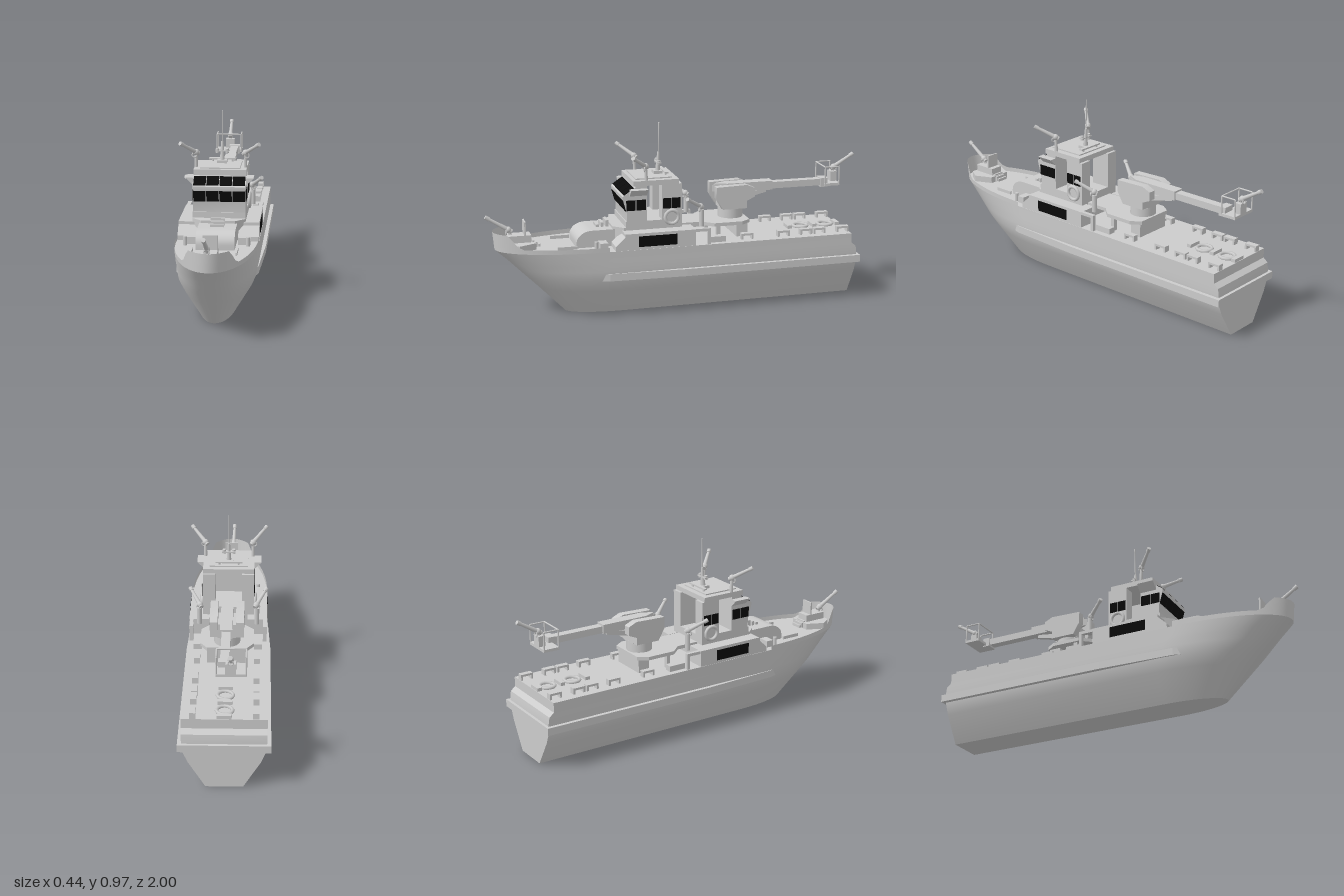
import * as THREE from 'three';
import { toCreasedNormals } from 'three/addons/utils/BufferGeometryUtils.js';

const grey = new THREE.MeshStandardMaterial({ color: 0xcccccc });
const thin = new THREE.MeshStandardMaterial({ color: 0xcccccc, side: THREE.DoubleSide });
const black = new THREE.MeshStandardMaterial({ color: 0x0a0a0a });
const V = (x, y, z) => new THREE.Vector3(x, y, z);

export function createModel() {
  const model = new THREE.Group();
  model.name = 'fireBoat';

  const add = (name, geo, mat = grey, parent = model) => {
    const m = new THREE.Mesh(geo, mat);
    m.name = name;
    parent.add(m);
    return m;
  };
  // Box given by its limits on each axis
  const box = (name, x0, x1, y0, y1, z0, z1, mat) => {
    const m = add(name, new THREE.BoxGeometry(x1 - x0, y1 - y0, z1 - z0), mat);
    m.position.set((x0 + x1) / 2, (y0 + y1) / 2, (z0 + z1) / 2);
    return m;
  };
  const extrude = (pts, depth) => new THREE.ExtrudeGeometry(
    new THREE.Shape(pts.map(p => new THREE.Vector2(...p))), { depth, bevelEnabled: false });
  // Side profile [z, y] swept from x0 to x1
  const sideExtrude = (name, pts, x0, x1) =>
    add(name, toCreasedNormals(extrude(pts, x1 - x0).rotateY(-Math.PI / 2).translate(x1, 0, 0), 0.6));
  // Plan outline [x, z] swept from y0 to y1
  const planExtrude = (name, pts, y0, y1) =>
    add(name, extrude(pts, y1 - y0).rotateX(Math.PI / 2).translate(0, y1, 0));
  // Round rod between two points
  const rod = (name, a, b, r0, r1 = r0, sides = 10, parent = model) => {
    const d = b.clone().sub(a);
    const m = add(name, new THREE.CylinderGeometry(r1, r0, d.length(), sides), grey, parent);
    m.position.copy(a).addScaledVector(d, 0.5);
    m.quaternion.setFromUnitVectors(V(0, 1, 0), d.normalize());
    return m;
  };
  const mirror = f => [-1, 1].forEach(f);

  // Hull: level rings with straight sides and an elliptical bow
  // [y, half width, stern z, start of bow curve, bow z]
  const levels = [
    [0, 0.09, -0.935, 0.3, 0.6], [0.14, 0.175, -0.935, 0.3, 0.735],
    [0.2, 0.2, -0.935, 0.32, 0.795], [0.25, 0.203, -0.935, 0.34, 0.845],
    [0.285, 0.204, -0.93, 0.36, 0.88], [0.305, 0.204, -0.905, 0.38, 0.9],
    [0.355, 0.205, -0.905, 0.4, 0.955]];
  const arc = 40, ring = arc + 3;
  const ringPoint = ([y, w, zs, z0, zb], i) => {
    if (i === 0 || i === ring - 1) return V(i ? -w : w, y, zs);
    const t = Math.PI * (i - 1) / arc;
    return V(w * Math.cos(t), y, z0 + (zb - z0) * Math.sin(t));
  };
  const pos = [], idx = [], top = (levels.length - 1) * ring;
  levels.forEach((l, k) => {
    for (let i = 0; i < ring; i++) {
      pos.push(...ringPoint(l, i).toArray());
      const a = k * ring + i, b = k * ring + (i + 1) % ring;
      if (k < levels.length - 1) idx.push(a, a + ring, b, b, a + ring, b + ring);
    }
  });
  const c0 = pos.length / 3;
  pos.push(0, 0, 0, 0, 0.355, 0);
  for (let i = 0; i < ring; i++) {
    const j = (i + 1) % ring;
    idx.push(c0, i, j, c0 + 1, top + j, top + i);
  }
  const hull = new THREE.BufferGeometry();
  hull.setAttribute('position', new THREE.Float32BufferAttribute(pos, 3));
  hull.setIndex(idx);
  add('hull', toCreasedNormals(hull, 0.35));

  // Bulwark: thin wall round the foredeck, raised at the bow
  const wallPos = [], wallIdx = [];
  for (let i = 1; i <= arc + 1; i++) {
    const p = ringPoint(levels[6], i);
    const h = 0.378 + 0.07 * THREE.MathUtils.clamp((p.z - 0.84) / 0.05, 0, 1);
    const s = 1 + (h - 0.355) * 0.1, k = (i - 1) * 2;
    wallPos.push(p.x, 0.355, p.z, p.x * s, h, p.z * s);
    if (i <= arc) wallIdx.push(k, k + 1, k + 2, k + 2, k + 1, k + 3);
  }
  const wall = new THREE.BufferGeometry();
  wall.setAttribute('position', new THREE.Float32BufferAttribute(wallPos, 3));
  wall.setIndex(wallIdx);
  wall.computeVertexNormals();
  add('bowBulwark', wall, thin);

  // Rubbing rail along both sides and across the stern
  planExtrude('rubRail', [[0.17, 0.52], [0.205, 0.4], [0.222, 0], [0.222, -0.95], [-0.222, -0.95],
    [-0.222, 0], [-0.205, 0.4], [-0.17, 0.52]], 0.2, 0.238);

  // Water cannon: post, swivel and barrel
  const cannon = (name, foot, pivot, tip) => {
    const g = new THREE.Group();
    g.name = name;
    model.add(g);
    rod('cannonPost', foot, pivot, 0.009, 0.008, 10, g);
    const d = tip.clone().sub(pivot);
    const at = t => pivot.clone().addScaledVector(d, t);
    rod('cannonBarrel', at(-0.15), at(0.85), 0.012, 0.008, 10, g);
    rod('cannonNozzle', at(0.83), tip, 0.011, 0.011, 10, g);
    add('cannonSwivel', new THREE.SphereGeometry(0.016, 12, 8), grey, g).position.copy(pivot);
    const wheel = add('cannonHandwheel', new THREE.TorusGeometry(0.012, 0.003, 6, 14), grey, g);
    wheel.position.copy(at(0.1)).y -= 0.02;
  };

  // Bow platform, pedestal and cannon
  planExtrude('bowPlatform', [[-0.06, 0.9], [0.06, 0.9], [0.1, 0.84], [0.06, 0.75], [-0.06, 0.75], [-0.1, 0.84]], 0.355, 0.388);
  box('bowPedestal', -0.035, 0.035, 0.388, 0.425, 0.77, 0.89);
  box('bowShield', -0.035, 0.035, 0.425, 0.495, 0.797, 0.805);
  for (let i = 0; i < 3; i++) box('bowStep', -0.03, 0.03, 0.36, 0.375 + i * 0.01, 0.725 + i * 0.015, 0.735 + i * 0.015);
  cannon('bowCannon', V(-0.01, 0.42, 0.87), V(-0.01, 0.45, 0.88), V(-0.015, 0.522, 0.995));

  // Foredeck hood with rolled front
  const hood = [[0.33, 0.355], [0.55, 0.355], [0.55, 0.38]];
  for (let i = 1; i <= 8; i++) {
    const t = i * Math.PI / 16;
    hood.push([0.47 + 0.08 * Math.cos(t), 0.38 + 0.062 * Math.sin(t)]);
  }
  sideExtrude('foredeckHood', [...hood, [0.33, 0.442]], -0.095, 0.095);
  for (let i = 0; i < 3; i++) box('hoodStep', -0.035, 0.035, 0.44, 0.455 + i * 0.01, 0.42 - i * 0.025, 0.435 - i * 0.025);

  // Side houses, foredeck benches and bitts
  mirror(s => {
    const [a, b] = s > 0 ? [0.1, 0.203] : [-0.203, -0.1];
    sideExtrude('sideHouse', [[-0.05, 0.355], [0.37, 0.355], [0.37, 0.378], [0.32, 0.425], [0.32, 0.44], [-0.05, 0.44]], a, b);
    box('sideWindow', s * 0.204 - 0.002, s * 0.204 + 0.002, 0.37, 0.425, 0.05, 0.25, black);
    box('foredeckBench', s * 0.135 - 0.03, s * 0.135 + 0.03, 0.355, 0.39, 0.4, 0.44);
    box('foredeckRail', s * 0.11 - 0.004, s * 0.11 + 0.004, 0.355, 0.372, 0.55, 0.65);
    rod('bitt', V(s * 0.155, 0.355, 0.46), V(s * 0.155, 0.4, 0.46), 0.01);
    // Open walkway beside the crane deck
    box('walkwayRail', s * 0.19 - 0.01, s * 0.19 + 0.01, 0.425, 0.44, -0.13, -0.05);
    box('walkwayPost', s * 0.19 - 0.01, s * 0.19 + 0.01, 0.355, 0.44, -0.13, -0.115);
    box('walkwayLocker', s * 0.155 - 0.02, s * 0.155 + 0.02, 0.355, 0.385, -0.22, -0.13);
  });

  // Wheelhouse: base, glazed front room, rear pillars and roof
  planExtrude('wheelhouseBase', [[0.133, 0.005], [0.133, 0.31], [0.085, 0.36], [-0.085, 0.36], [-0.133, 0.31], [-0.133, 0.005]], 0.355, 0.455);
  box('wheelhouseFloor', -0.133, 0.133, 0.455, 0.485, 0.005, 0.3);
  sideExtrude('wheelhouseFront', [[0.19, 0.45], [0.295, 0.45], [0.295, 0.53], [0.316, 0.605], [0.316, 0.618], [0.25, 0.662], [0.25, 0.68], [0.19, 0.68]], -0.133, 0.133);
  box('wheelhouseRoof', -0.133, 0.133, 0.668, 0.694, 0.02, 0.26);
  box('roofPlinth', -0.1, 0.1, 0.694, 0.7, 0.05, 0.24);
  const pane = (x, [z0, y0], [z1, y1]) => {
    const m = add('frontWindow', new THREE.BoxGeometry(0.062, Math.hypot(y1 - y0, z1 - z0), 0.006), black);
    m.position.set(x, (y0 + y1) / 2, (z0 + z1) / 2);
    m.rotation.x = Math.atan2(z1 - z0, y1 - y0);
  };
  for (let i = 0; i < 4; i++) {
    const x = (i - 1.5) * 0.0655;
    pane(x, [0.298, 0.54], [0.3135, 0.596]);
    pane(x, [0.309, 0.623], [0.256, 0.658]);
  }
  mirror(s => {
    const [a, b] = s > 0 ? [0.07, 0.133] : [-0.133, -0.07];
    box('rearPillar', a, b, 0.44, 0.67, 0.005, 0.11);
    for (const [z0, z1] of [[0.195, 0.245], [0.25, 0.298], [0.015, 0.058], [0.063, 0.105]])
      box('cabinWindow', s * 0.133 - 0.003, s * 0.133 + 0.003, 0.543, 0.597, z0, z1, black);
    add('wheelhouseWing', extrude([[s * 0.13, 0.615], [s * 0.17, 0.655], [s * 0.13, 0.655]], 0.09).translate(0, 0, 0.19));
    const buoy = add('lifeRing', new THREE.TorusGeometry(0.035, 0.009, 8, 24));
    buoy.position.set(s * 0.138, 0.497, 0.06);
    buoy.rotation.y = Math.PI / 2;
    cannon('roofCannon', V(s * 0.125, 0.69, 0.19), V(s * 0.125, 0.77, 0.195), V(s * 0.197, 0.828, 0.275));
    cannon('aftCannon', V(s * 0.148, 0.44, -0.095), V(s * 0.145, 0.545, -0.09), V(s * 0.198, 0.6, -0.005));
    rod('cannonSupply', V(s * 0.148, 0.44, -0.095), V(s * 0.148, 0.53, -0.095), 0.013);
  });

  // Mast with radar bars and lamps
  box('mastFoot', -0.025, 0.025, 0.694, 0.715, 0.08, 0.125);
  rod('mast', V(0, 0.71, 0.1), V(0, 0.81, 0.095), 0.013, 0.006);
  rod('antenna', V(0, 0.8, 0.095), V(0, 0.965, 0.092), 0.003);
  box('radarBar', -0.07, 0.07, 0.71, 0.718, 0.06, 0.078);
  box('lampBar', -0.035, 0.035, 0.757, 0.763, 0.088, 0.11);
  mirror(s => {
    rod('mastLamp', V(s * 0.025, 0.75, 0.1), V(s * 0.025, 0.772, 0.1), 0.009);
    rod('radarLeg', V(s * 0.05, 0.694, 0.07), V(s * 0.05, 0.71, 0.07), 0.006);
  });

  // Crane deck: raised slab on a rear support
  box('craneDeckFront', -0.085, 0.085, 0.427, 0.445, -0.14, 0.01);
  planExtrude('craneDeck', [[-0.09, -0.12], [0.09, -0.12], [0.135, -0.17], [0.135, -0.32], [0.1, -0.37], [-0.1, -0.37], [-0.135, -0.32], [-0.135, -0.17]], 0.427, 0.445);
  box('craneSupport', -0.1, 0.1, 0.355, 0.43, -0.36, -0.3);
  mirror(s => box('craneDeckLeg', s * 0.11 - 0.012, s * 0.11 + 0.012, 0.355, 0.43, -0.205, -0.185));

  // Crane: turntable, cheeks and long boom
  rod('turntable', V(0, 0.445, -0.295), V(0, 0.5, -0.295), 0.066, 0.066, 24);
  const cheek = [[-0.195, 0.62], [-0.195, 0.56], [-0.23, 0.5], [-0.36, 0.5], [-0.36, 0.54], [-0.405, 0.56], [-0.405, 0.605], [-0.36, 0.625]];
  mirror(s => sideExtrude('craneCheek', cheek, s * 0.065 - 0.02, s * 0.065 + 0.02));
  box('craneBody', -0.046, 0.046, 0.495, 0.57, -0.36, -0.23);
  sideExtrude('craneRam', [[-0.36, 0.53], [-0.36, 0.56], [-0.49, 0.578], [-0.49, 0.562]], -0.012, 0.012);
  planExtrude('boom', [[0, -0.195], [0.022, -0.25], [0.022, -0.82], [-0.022, -0.82], [-0.022, -0.25]], 0.58, 0.615);
  planExtrude('boomSleeve', [[0.004, -0.21], [0.03, -0.27], [0.03, -0.52], [-0.03, -0.52], [-0.03, -0.27], [-0.004, -0.21]], 0.576, 0.624);

  // Basket with hand rails and cannon
  box('basketFloor', -0.105, 0.04, 0.578, 0.592, -0.895, -0.81);
  box('basketBracket', -0.03, 0.03, 0.572, 0.62, -0.83, -0.79);
  box('basketConsole', -0.055, -0.005, 0.59, 0.645, -0.895, -0.86);
  for (const x of [-0.102, 0.037]) {
    for (const z of [-0.892, -0.813]) rod('basketPost', V(x, 0.585, z), V(x, 0.68, z), 0.004);
    rod('basketRail', V(x, 0.68, -0.892), V(x, 0.68, -0.813), 0.004);
  }
  rod('basketRail', V(-0.102, 0.68, -0.813), V(0.037, 0.68, -0.813), 0.004);
  cannon('basketCannon', V(-0.03, 0.64, -0.88), V(-0.03, 0.665, -0.885), V(-0.03, 0.732, -0.995));

  // Aft deck: flat rings, hatch bars and side fairleads
  for (const z of [-0.69, -0.83]) {
    const r = add('deckRing', new THREE.TorusGeometry(0.038, 0.009, 6, 24));
    r.rotation.x = Math.PI / 2;
    r.position.set(0, 0.36, z);
  }
  for (const z of [-0.62, -0.76, -0.89]) box('deckBar', -0.035, 0.035, 0.355, 0.372, z - 0.012, z + 0.012);
  mirror(s => {
    for (const z of [-0.87, -0.74, -0.665, -0.54, -0.34]) {
      box('fairleadTop', s * 0.15 - 0.015, s * 0.15 + 0.015, 0.375, 0.386, z - 0.033, z + 0.033);
      for (const e of [-0.028, 0.028])
        box('fairleadLeg', s * 0.15 - 0.015, s * 0.15 + 0.015, 0.355, 0.38, z + e - 0.005, z + e + 0.005);
    }
  });
  return model;
}
